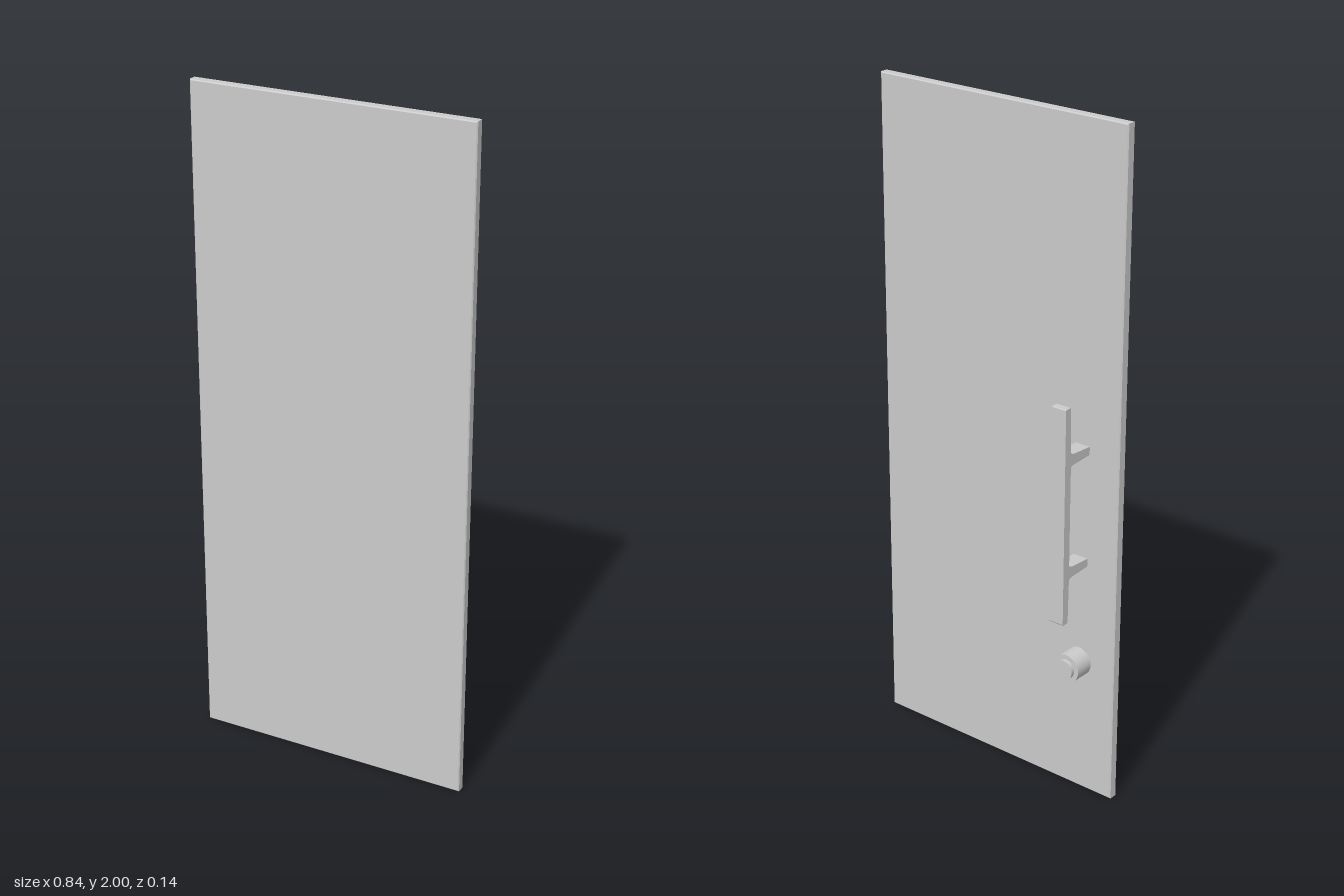
import * as THREE from 'three';

const material = new THREE.MeshStandardMaterial({ color: 0xcccccc, flatShading: true });
const smooth = new THREE.MeshStandardMaterial({ color: 0xcccccc });
const HANDLE_X = -0.297;

function add(parent, name, geometry, mat = material) {
  const mesh = new THREE.Mesh(geometry, mat);
  mesh.name = name;
  parent.add(mesh);
  return mesh;
}

// Extrudes a side outline of [z, y] points to a width centred on x = 0
function sideExtrude(points, width) {
  const shape = new THREE.Shape(points.map(([z, y]) => new THREE.Vector2(-z, y)));
  const geometry = new THREE.ExtrudeGeometry(shape, { depth: width, bevelEnabled: false });
  return geometry.translate(0, 0, -width / 2).rotateY(Math.PI / 2);
}

export function createModel() {
  const door = new THREE.Group();
  door.name = 'door';

  // Flat door leaf with tiny bevels on its edges
  const bevel = 0.003;
  const w = 0.42 - bevel;
  const outline = new THREE.Shape([
    new THREE.Vector2(-w, bevel), new THREE.Vector2(w, bevel),
    new THREE.Vector2(w, 2 - bevel), new THREE.Vector2(-w, 2 - bevel),
  ]);
  const panel = new THREE.ExtrudeGeometry(outline, {
    depth: 0.029 - 2 * bevel, bevelThickness: bevel, bevelSize: bevel, bevelSegments: 1,
  });
  add(door, 'panel', panel.translate(0, 0, 0.039 + bevel));

  // Pull handle: a long bar, slightly thinner beyond its posts
  const handle = new THREE.Group();
  handle.name = 'pullHandle';
  handle.position.set(HANDLE_X, 0.905, 0);
  door.add(handle);
  add(handle, 'handleBar', sideExtrude([
    [-0.067, -0.325], [-0.069, -0.322], [-0.069, 0.322], [-0.067, 0.325],
    [-0.049, 0.325], [-0.047, 0.322], [-0.044, 0.19],
    [-0.044, -0.19], [-0.047, -0.322], [-0.049, -0.325],
  ], 0.047));

  // Posts flare where they meet the bar
  for (const side of [1, -1]) {
    const post = sideExtrude([
      [0.041, -0.012], [-0.03, -0.016], [-0.04, -0.018], [-0.046, -0.025],
      [-0.046, 0.025], [-0.04, 0.018], [-0.03, 0.016], [0.041, 0.012],
    ], 0.047);
    add(handle, side > 0 ? 'upperPost' : 'lowerPost', post).position.y = side * 0.17;
  }

  // Round lock housing with a raised core, both facing backwards
  const lock = new THREE.Group();
  lock.name = 'lock';
  lock.position.set(HANDLE_X, 0.415, 0);
  door.add(lock);
  const drum = (name, radius, front, back) => {
    const geometry = new THREE.CylinderGeometry(radius, radius, front - back, 32);
    add(lock, name, geometry.rotateX(Math.PI / 2), smooth).position.z = (front + back) / 2;
  };
  drum('lockHousing', 0.043, 0.041, -0.02);
  drum('lockCore', 0.029, 0, -0.031);

  return door;
}
